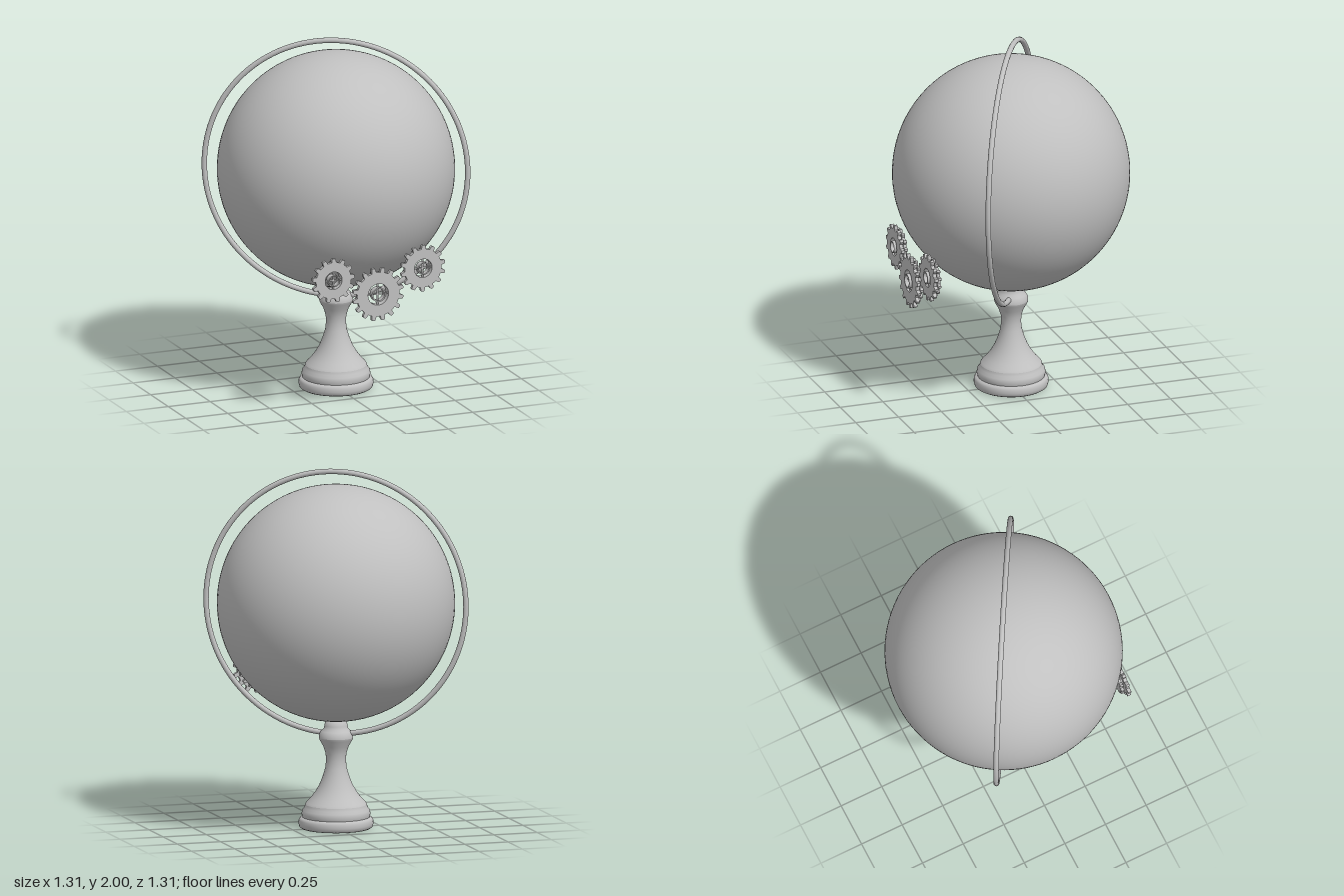
import * as THREE from 'three';

const grey = new THREE.MeshStandardMaterial({ color: 0xc0c0c0 });
grey.name = 'plain grey';

function add(parent, name, geometry, x = 0, y = 0, z = 0) {
  const mesh = new THREE.Mesh(geometry, grey);
  mesh.name = name;
  mesh.position.set(x, y, z);
  parent.add(mesh);
  return mesh;
}

// Toothed disc with a round hole, extruded along +z
function gearDisc(radius, hole, teeth, depth) {
  const shape = new THREE.Shape();
  const root = radius * 0.83;
  const step = (Math.PI * 2) / teeth;
  const profile = [[-0.5, root], [-0.27, root], [-0.2, radius * 0.95], [-0.13, radius],
    [0.13, radius], [0.2, radius * 0.95], [0.27, root]];
  for (let i = 0; i < teeth; i++) {
    for (const [t, r] of profile) {
      const a = (i + t) * step;
      const p = [Math.cos(a) * r, Math.sin(a) * r];
      if (i === 0 && t === -0.5) shape.moveTo(...p);
      else shape.lineTo(...p);
    }
  }
  shape.closePath();
  shape.holes.push(new THREE.Path().absarc(0, 0, hole, 0, Math.PI * 2, true));
  return new THREE.ExtrudeGeometry(shape, { depth, bevelEnabled: false, curveSegments: 24 });
}

// Flat round ring, extruded along +z
function flatRing(outer, inner, depth) {
  const shape = new THREE.Shape().absarc(0, 0, outer, 0, Math.PI * 2, false);
  shape.holes.push(new THREE.Path().absarc(0, 0, inner, 0, Math.PI * 2, true));
  return new THREE.ExtrudeGeometry(shape, { depth, bevelEnabled: false, curveSegments: 24 });
}

// Double gear: large front wheel, smaller rear wheel, collar and spoked hub
function makeGear(name, x, y, z, radius, teeth, turn) {
  const gear = new THREE.Group();
  gear.name = name;
  gear.position.set(x, y, z);
  const hole = radius * 0.4;
  add(gear, 'frontWheel', gearDisc(radius, hole, teeth, 0.02), 0, 0, 0.027).rotation.z = turn;
  add(gear, 'rearWheel', gearDisc(radius * 0.8, hole, teeth, 0.018)).rotation.z = turn;
  add(gear, 'collar', flatRing(radius * 0.55, hole, 0.011), 0, 0, 0.017);
  add(gear, 'hubRing', flatRing(radius * 0.27, radius * 0.22, 0.035), 0, 0, 0.021);
  for (let i = 0; i < 2; i++) {
    add(gear, 'spoke', new THREE.BoxGeometry(hole * 2.02, 0.008, 0.008), 0, 0, 0.035)
      .rotation.z = i * Math.PI / 2;
  }
  return gear;
}

export function createModel() {
  const model = new THREE.Group();
  model.name = 'globeOnStand';

  // Globe
  add(model, 'globe', new THREE.SphereGeometry(0.655, 96, 64), 0, 1.253, 0);

  // Upright ring, turned about the vertical axis
  add(model, 'meridianRing', new THREE.TorusGeometry(0.73, 0.015, 16, 128), 0, 1.255, 0)
    .rotation.y = -Math.PI / 6;

  // Turned pedestal, lathed in sections so that the edges between them stay crisp
  const sections = {
    foot: [[0, 0.005], [0.19, 0.005], [0.201, 0.012], [0.206, 0.03], [0.205, 0.05], [0.198, 0.062], [0.185, 0.067]],
    footMoulding: [[0.185, 0.067], [0.19, 0.085], [0.186, 0.105], [0.174, 0.12], [0.17, 0.137]],
    stem: [[0.17, 0.137], [0.163, 0.148], [0.14, 0.172], [0.115, 0.205], [0.092, 0.245], [0.074, 0.29],
      [0.059, 0.34], [0.055, 0.38], [0.057, 0.42], [0.07, 0.46], [0.09, 0.495], [0.094, 0.508]],
    collar: [[0.094, 0.508], [0.093, 0.525], [0.083, 0.545], [0.068, 0.558], [0.064, 0.575],
      [0.06, 0.595], [0.045, 0.608], [0, 0.612]],
  };
  const pedestal = new THREE.Group();
  pedestal.name = 'pedestal';
  for (const [name, points] of Object.entries(sections)) {
    add(pedestal, name, new THREE.LatheGeometry(points.map((p) => new THREE.Vector2(...p)), 64));
  }
  pedestal.position.y = -0.005;
  model.add(pedestal);

  // Row of three gears in front
  model.add(
    makeGear('centreGear', 0, 0.692, 0.555, 0.152, 16, Math.PI / 16),
    makeGear('rightGear', -0.262, 0.797, 0.545, 0.126, 13, 0.1),
    makeGear('leftGear', 0.272, 0.808, 0.545, 0.132, 14, 0.2),
  );
  return model;
}
